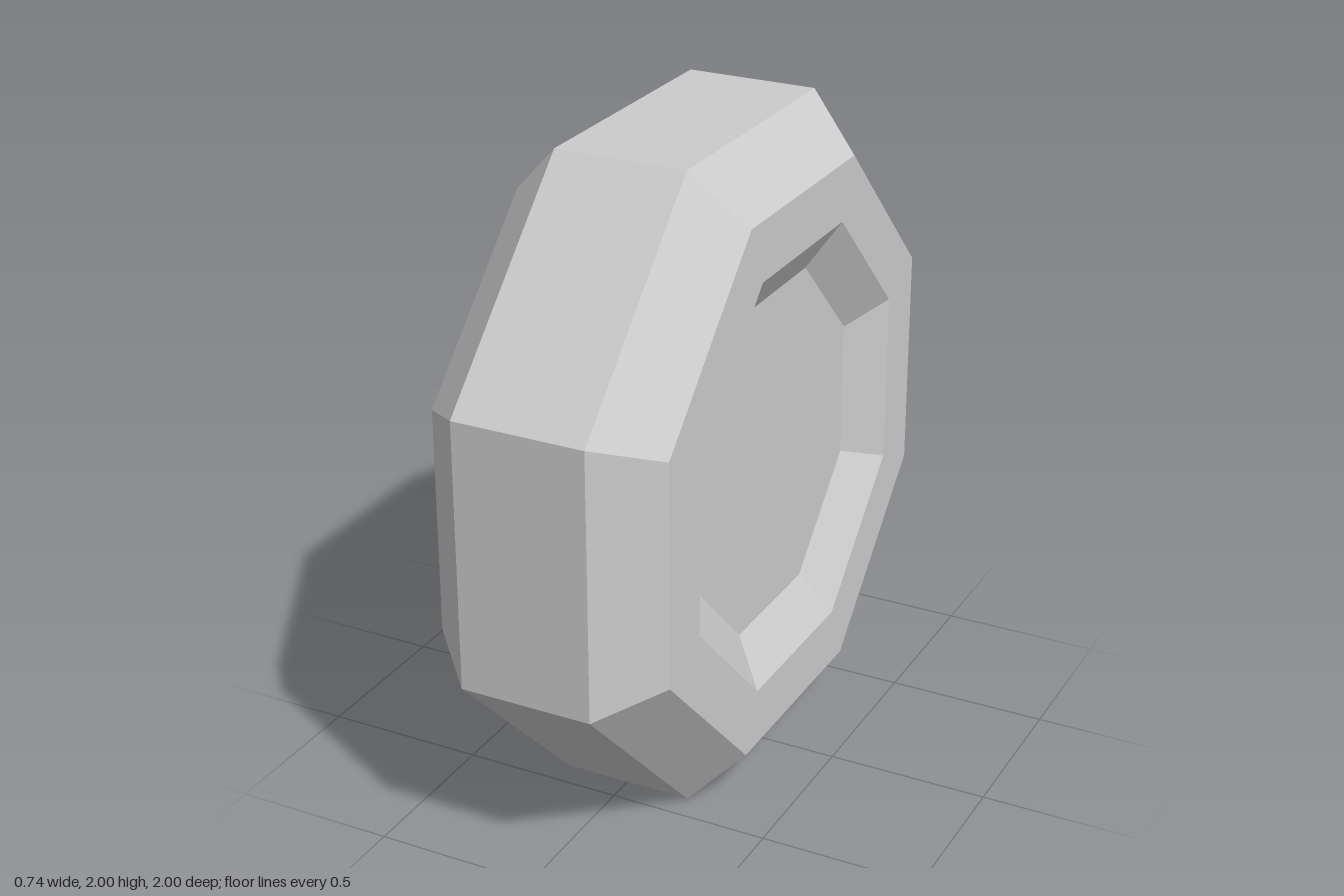
import * as THREE from 'three';

const SIDES = 8;

export function createModel() {
  const model = new THREE.Group();
  const material = new THREE.MeshStandardMaterial({ color: 0xcccccc, flatShading: true });

  // Half profile from hub to tread: [distance to flat side, offset along the axle]
  const half = [
    [0, 0.278],      // hub centre
    [0.515, 0.278],  // hub floor edge
    [0.655, 0.368],  // recess rim
    [0.837, 0.368],  // sidewall edge
    [1, 0.205],      // tread edge
  ];
  const profile = [
    ...half.map(([r, h]) => [r, -h]),
    ...[...half].reverse(),
  ].map(([r, h]) => new THREE.Vector2(r / Math.cos(Math.PI / SIDES), h));

  // Octagonal wheel, axle turned onto x, standing on a flat side
  const geometry = new THREE.LatheGeometry(profile, SIDES, Math.PI / SIDES);
  geometry.rotateZ(Math.PI / 2);
  const wheel = new THREE.Mesh(geometry, material);
  wheel.name = 'wheel';
  wheel.position.y = 1;
  model.add(wheel);

  return model;
}
